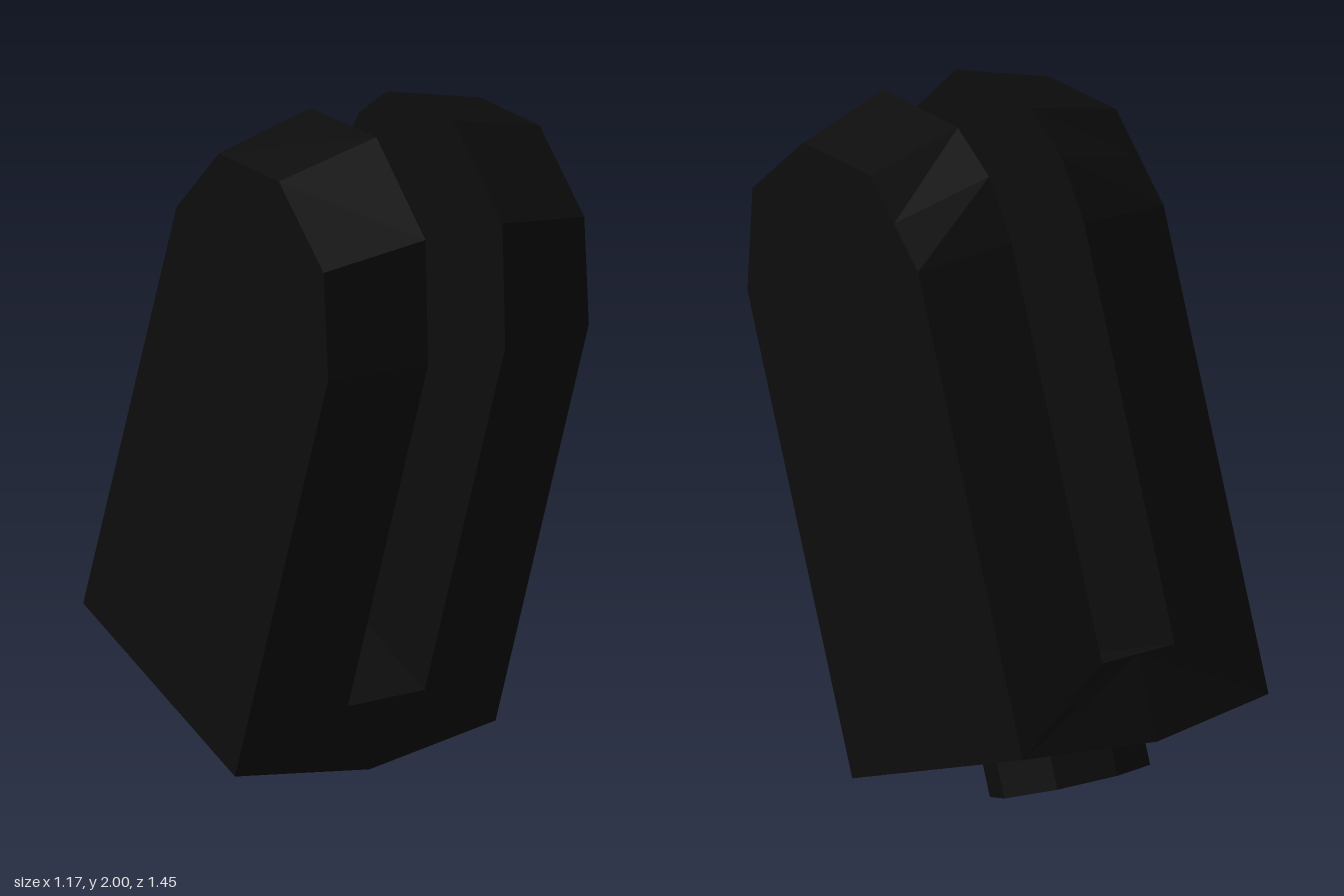
import * as THREE from 'three';

const HALF_WIDTH = 0.44, HALF_SLOT = 0.13;

// Side profiles as [depth, height], from the front foot over the top to the back foot
const outerProfile = [[0.42, 0], [0.42, 1.418], [0.29, 1.707], [0, 1.82],
  [-0.29, 1.707], [-0.355, 1.5625], [-0.42, 1.418], [-0.42, 0]];
const innerProfile = [[0.46, 0.21], [0.46, 1.434], [0.32, 1.776], [0, 1.908],
  [-0.32, 1.776], [-0.42, 1.627], [-0.46, 1.434], [-0.46, 0.21]];

// Collects flat polygons; side = -1 mirrors them across x
function facetMesh(name, material, side, polygons) {
  const positions = [];
  for (const poly of polygons) {
    for (let i = 1; i < poly.length - 1; i++) {
      const tri = [poly[0], poly[i], poly[i + 1]];
      if (side < 0) tri.reverse();
      for (const [x, y, z] of tri) positions.push(x * side, y, z);
    }
  }
  const geometry = new THREE.BufferGeometry();
  geometry.setAttribute('position', new THREE.Float32BufferAttribute(positions, 3));
  geometry.computeVertexNormals();
  const mesh = new THREE.Mesh(geometry, material);
  mesh.name = name;
  return mesh;
}

function prongPolygons() {
  const outer = outerProfile.map(([d, h]) => [HALF_WIDTH, h, d]);
  const inner = innerProfile.map(([d, h]) => [HALF_SLOT, h, d]);
  const polygons = [[...outer].reverse(), inner];
  for (let i = 0; i < outer.length - 1; i++) {
    polygons.push([inner[i], outer[i], outer[i + 1], inner[i + 1]]);
  }
  return polygons;
}

function basePolygons() {
  // Half of the front outline: keel, corner, slot edge, slot centre
  const front = [[0, -0.045, 0.46], [HALF_WIDTH, 0, 0.42], [HALF_SLOT, 0.21, 0.46], [0, 0.21, 0.46]];
  const back = front.map(([x, y, z]) => [x, y, -z]);
  return [
    front,
    [...back].reverse(),
    [front[0], back[0], back[1], front[1]], // underside
    [front[3], front[2], back[2], back[3]], // slot floor
  ];
}

export function createModel() {
  const black = new THREE.MeshStandardMaterial({ color: 0x0d0d0d });
  black.name = 'black';

  // Leaning, turned fork
  const fork = new THREE.Group();
  fork.name = 'fork';
  fork.rotation.set(THREE.MathUtils.degToRad(20), THREE.MathUtils.degToRad(14.5), 0, 'YXZ');
  fork.position.set(-0.06, 0.2075, -0.234);

  for (const [side, label] of [[1, 'left'], [-1, 'right']]) {
    fork.add(facetMesh(label + 'Prong', black, side, prongPolygons()));
    fork.add(facetMesh(label + 'BaseHalf', black, side, basePolygons()));
  }

  // Eight-sided stub under the base
  const stubGeometry = new THREE.CylinderGeometry(0.235, 0.235, 0.13, 8).toNonIndexed();
  stubGeometry.computeVertexNormals();
  const stub = new THREE.Mesh(stubGeometry, black);
  stub.name = 'stub';
  stub.position.y = -0.065;
  fork.add(stub);

  const model = new THREE.Group();
  model.name = 'forkModel';
  model.add(fork);
  return model;
}
